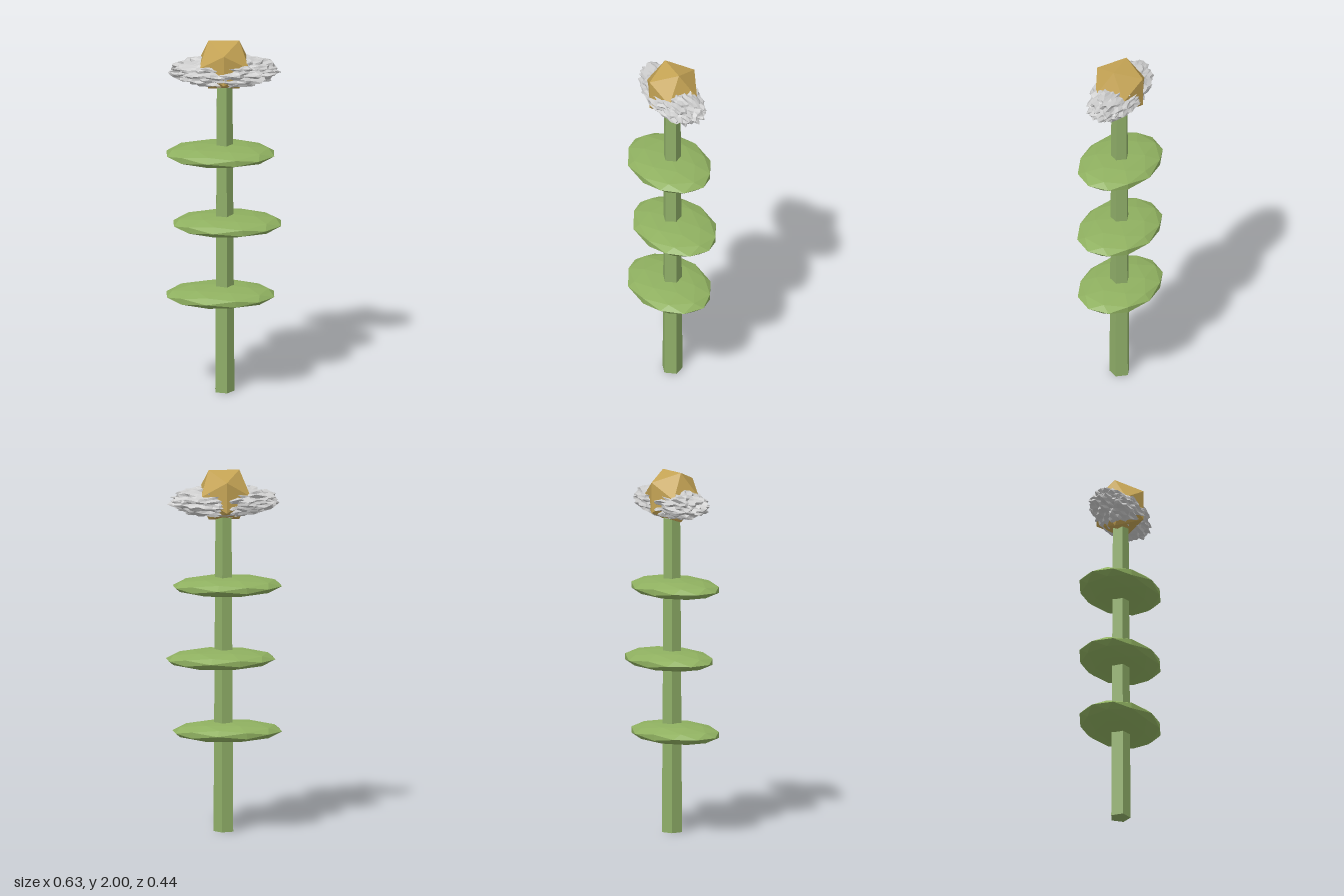
import * as THREE from 'three';

const paint = (color) => new THREE.MeshStandardMaterial({ color, flatShading: true });

function addMesh(group, name, geometry, material, x, y, z) {
  const mesh = new THREE.Mesh(geometry, material);
  mesh.name = name;
  mesh.position.set(x, y, z);
  group.add(mesh);
  return mesh;
}

// Repeatable value in 0..1 for a point, so shared corners stay joined
function hash(v) {
  const q = (n) => Math.round(n * 500);
  const s = Math.sin(q(v.x) * 12.9898 + q(v.y) * 78.233 + q(v.z) * 37.719) * 43758.5453;
  return s - Math.floor(s);
}

// Faceted ball whose corners are pushed in and out by a random share
function roughBall(detail, low, high) {
  const geometry = new THREE.IcosahedronGeometry(1, detail);
  const pos = geometry.attributes.position;
  const v = new THREE.Vector3();
  for (let i = 0; i < pos.count; i++) {
    v.fromBufferAttribute(pos, i);
    v.multiplyScalar(low + (high - low) * hash(v));
    pos.setXYZ(i, v.x, v.y, v.z);
  }
  return geometry;
}

export function createModel() {
  const model = new THREE.Group();
  model.name = 'flower';
  const stemX = -0.005;

  // Five-sided tapering stem with one corner towards +x
  const stem = new THREE.CylinderGeometry(0.047, 0.058, 1.8, 5, 1, false, Math.PI / 2);
  addMesh(model, 'stem', stem, paint(0x8fae68), stemX, 0.9, 0);

  // Three flat leaves, each turned half a circle from the one below
  const leaf = new THREE.IcosahedronGeometry(1, 1);
  leaf.rotateY(-Math.PI / 12);
  leaf.scale(0.305, 0.055, 0.22);
  leaf.translate(-0.019, 0, 0.007);
  const leafPaint = paint(0x8fb060);
  for (let i = 0; i < 3; i++) {
    const mesh = addMesh(model, 'leaf' + (i + 1), leaf, leafPaint, stemX, 0.553 + i * 0.402, 0);
    mesh.rotation.y = i * Math.PI;
  }

  // Spiky oval collar of petals
  const petals = roughBall(7, 0.84, 1.06);
  petals.scale(0.3, 0.088, 0.14);
  addMesh(model, 'petals', petals, paint(0xcccccc), 0, 1.828, 0);

  // Golden heart of the bloom
  const heart = new THREE.IcosahedronGeometry(0.161, 0);
  addMesh(model, 'flowerHeart', heart, paint(0xc4a354), stemX, 1.863, 0);

  return model;
}
